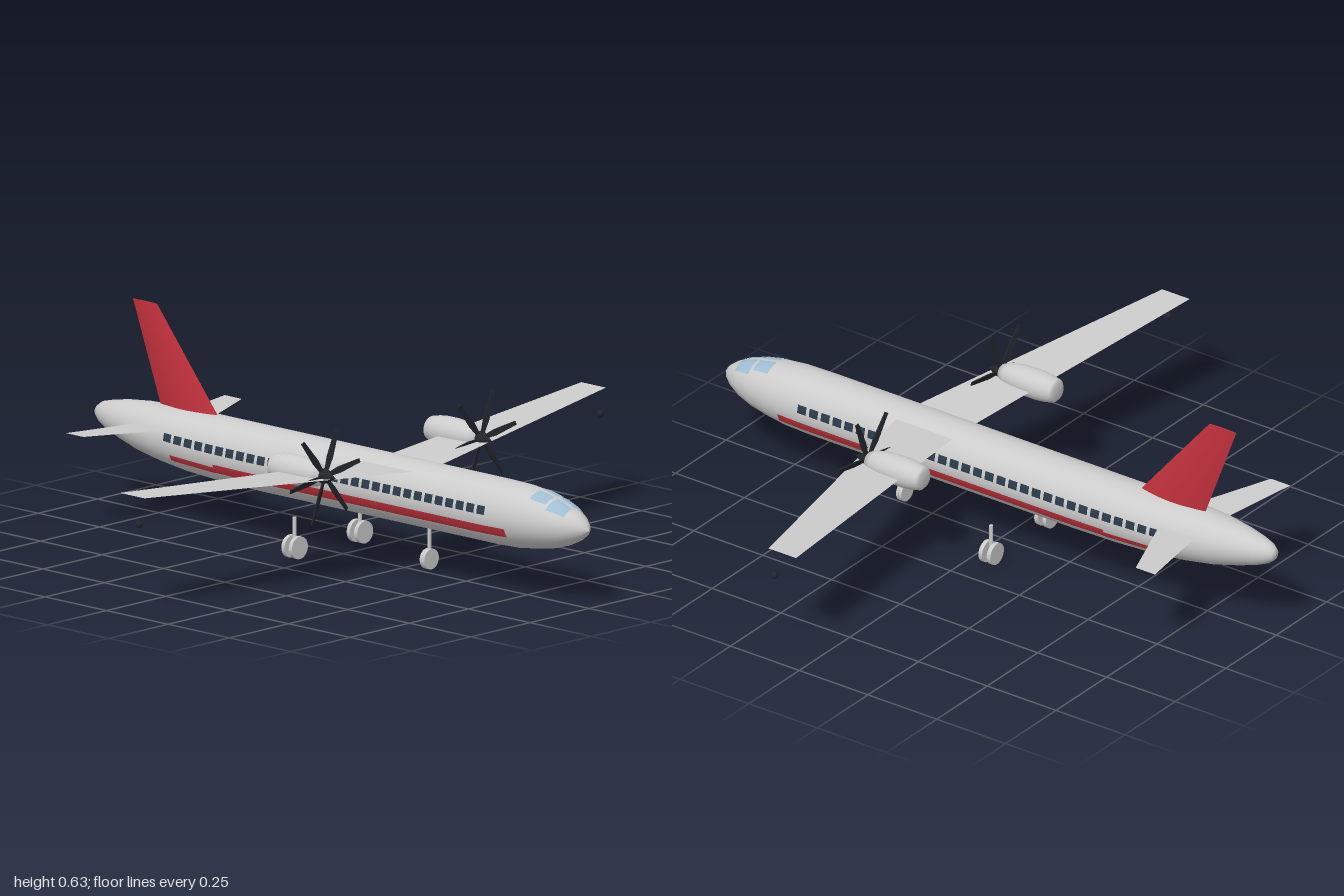
import * as THREE from 'three';
import { ParametricGeometry } from 'three/addons/geometries/ParametricGeometry.js';

const mat = (color, side = THREE.FrontSide) => new THREE.MeshStandardMaterial({ color, side });
const grey = mat(0xcccccc), greyThin = mat(0xcccccc, THREE.DoubleSide);
const red = mat(0xc0303c, THREE.DoubleSide), dark = mat(0x22262c);
const windowBlue = mat(0x2c3a4a, THREE.DoubleSide), glass = mat(0x9fbcd2, THREE.DoubleSide);

// Fuselage sections: x, top y, bottom y, half width
const SECTIONS = [
  [-1, 0.271, 0.269, 0.001], [-0.995, 0.288, 0.252, 0.017], [-0.975, 0.302, 0.236, 0.03],
  [-0.94, 0.311, 0.221, 0.044], [-0.88, 0.322, 0.202, 0.061], [-0.8, 0.33, 0.181, 0.079],
  [-0.7, 0.334, 0.164, 0.091], [-0.6, 0.335, 0.152, 0.096], [-0.45, 0.335, 0.143, 0.0975],
  [-0.3, 0.335, 0.14, 0.0975], [0.65, 0.335, 0.14, 0.0975], [0.74, 0.333, 0.143, 0.096],
  [0.81, 0.326, 0.152, 0.089], [0.87, 0.314, 0.163, 0.078], [0.92, 0.298, 0.178, 0.062],
  [0.96, 0.278, 0.197, 0.042], [0.985, 0.258, 0.215, 0.022], [1, 0.236, 0.234, 0.001],
];

// Point on the fuselage skin at x, angle a from the top, lifted by an offset
function skin(x, a, lift, target) {
  let i = 0;
  while (i < SECTIONS.length - 2 && x > SECTIONS[i + 1][0]) i++;
  const p = SECTIONS[i], q = SECTIONS[i + 1], t = (x - p[0]) / (q[0] - p[0]);
  const [top, bottom, half] = [1, 2, 3].map((k) => p[k] + (q[k] - p[k]) * t);
  return target.set(x, (top + bottom) / 2 + ((top - bottom) / 2 + lift) * Math.cos(a),
    -(half + lift) * Math.sin(a));
}

export function createModel() {
  const model = new THREE.Group();
  model.name = 'airliner';

  function add(parent, name, geometry, material, x = 0, y = 0, z = 0) {
    const mesh = new THREE.Mesh(geometry, material);
    mesh.name = name;
    mesh.position.set(x, y, z);
    parent.add(mesh);
    return mesh;
  }
  function group(name, x, y, z) {
    const g = new THREE.Group();
    g.name = name;
    g.position.set(x, y, z);
    model.add(g);
    return g;
  }
  // Panel lying on the skin; side 1 is +z, -1 is -z
  function panel(name, x0, x1, a0, a1, side, material, nx, lift = 0.002) {
    const from = side > 0 ? -a1 : a0, to = side > 0 ? -a0 : a1;
    add(model, name, new ParametricGeometry((u, v, target) =>
      skin(x0 + (x1 - x0) * u, from + (to - from) * v, lift, target), nx, 6), material);
  }
  // Thin four-cornered surface
  function sheet(name, corners) {
    const g = new THREE.BufferGeometry();
    g.setAttribute('position', new THREE.Float32BufferAttribute(corners.flat(), 3));
    g.setIndex([0, 1, 2, 0, 2, 3]);
    g.computeVertexNormals();
    add(model, name, g, greyThin);
  }

  // Fuselage
  const steps = (SECTIONS.length - 1) * 2;
  const body = new ParametricGeometry((u, v, target) => {
    const s = u * (SECTIONS.length - 1), i = Math.min(Math.floor(s), SECTIONS.length - 2);
    const x = SECTIONS[i][0] + (SECTIONS[i + 1][0] - SECTIONS[i][0]) * (s - i);
    skin(x, -Math.PI + v * 2 * Math.PI, 0, target);
  }, steps, 48);
  body.computeVertexNormals();
  add(model, 'fuselage', body, grey);

  // Tail fin: lens-shaped sections tapering upward
  const fin = [[0.31, -0.735, -0.49, 0.017], [0.63, -0.855, -0.757, 0.004]];
  add(model, 'tailFin', new ParametricGeometry((u, v, target) => {
    const [y, back, front, half] = fin[0].map((n, k) => n + (fin[1][k] - n) * v);
    const a = u * 2 * Math.PI;
    target.set((back + front) / 2 + Math.cos(a) * (front - back) / 2, y,
      half * Math.sin(a) * Math.abs(Math.sin(a)));
  }, 32, 4), red);
  add(model, 'tailFinCap', new THREE.BoxGeometry(0.094, 0.002, 0.004), red, -0.806, 0.629, 0);

  // Main wheels and nose wheels, strut above a pair of discs
  function gear(name, x, y, z, radius, gap, width) {
    const g = group(name, x, y, z);
    for (const s of [-1, 1]) {
      add(g, 'wheel', new THREE.CylinderGeometry(radius, radius, width, 24), grey, s * gap)
        .rotation.z = Math.PI / 2;
    }
    add(g, 'axle', new THREE.CylinderGeometry(0.005, 0.005, gap * 2, 10), grey).rotation.z = Math.PI / 2;
    add(g, 'strut', new THREE.CylinderGeometry(0.006, 0.006, 0.09, 12), grey, 0, 0.045);
  }
  gear('noseGear', 0.35, 0.045, 0, 0.031, 0.005, 0.009);

  // Nacelle outline, revolved about its long axis
  const nacelleOutline = [[0, 0.035], [0.027, 0.035], [0.036, 0.043], [0.042, 0.07], [0.045, 0.1],
    [0.045, 0.14], [0.042, 0.18], [0.035, 0.215], [0.025, 0.238], [0, 0.238]]
    .map(([r, x]) => new THREE.Vector2(r, x));
  const blade = new THREE.Shape();
  blade.moveTo(-0.005, 0.01);
  blade.lineTo(-0.010, 0.06);
  blade.lineTo(-0.006, 0.148);
  blade.lineTo(0.006, 0.148);
  blade.lineTo(0.010, 0.06);
  blade.lineTo(0.005, 0.01);
  const bladeGeometry = new THREE.ExtrudeGeometry(blade, { depth: 0.004, bevelEnabled: false });
  bladeGeometry.translate(0, 0, -0.002);

  for (const s of [1, -1]) {
    const side = s > 0 ? 'left' : 'right';

    // Wings and tailplane with slight dihedral
    sheet(side + 'Wing', [[0.137, 0.313, s * 0.03], [0.345, 0.313, s * 0.03],
      [0.13, 0.357, s * 0.975], [0.03, 0.357, s * 0.975]]);
    sheet(side + 'Tailplane', [[-0.757, 0.283, s * 0.05], [-0.622, 0.283, s * 0.05],
      [-0.735, 0.29, s * 0.335], [-0.805, 0.29, s * 0.335]]);
    add(model, side + 'TipLight', new THREE.SphereGeometry(0.011, 16, 12), dark, 0.108, 0.275, s * 0.975);

    // Engine with six-bladed propeller
    add(model, side + 'Nacelle', new THREE.LatheGeometry(nacelleOutline, 32), grey, 0, 0.332, s * 0.33)
      .rotation.z = -Math.PI / 2;
    const propeller = group(side + 'Propeller', 0.243, 0.332, s * 0.33);
    add(propeller, 'hub', new THREE.CylinderGeometry(0.02, 0.024, 0.018, 24), dark)
      .rotation.z = -Math.PI / 2;
    add(propeller, 'spinner', new THREE.ConeGeometry(0.02, 0.035, 24), dark, 0.026)
      .rotation.z = -Math.PI / 2;
    for (let i = 0; i < 6; i++) {
      const arm = new THREE.Group();
      arm.name = 'blade';
      arm.rotation.x = -THREE.MathUtils.degToRad(21 + i * 60);
      add(arm, 'bladeSurface', bladeGeometry, dark).rotation.y = Math.PI / 2 - 0.3;
      propeller.add(arm);
    }

    gear(side + 'MainGear', -0.065, 0.036, s * 0.138, 0.034, 0.015, 0.013);

    // Cabin windows
    const count = 31, pitch = 1.32 / count;
    for (let i = 0; i < count; i++) {
      const x = -0.64 + i * pitch;
      panel(side + 'CabinWindow', x, x + 0.031, 1.23, 1.49, s, windowBlue, 1, 0.003);
    }

    // Side stripe, narrower toward the tail
    panel(side + 'Stripe', -0.44, 0.745, 1.82, 2.115, s, red, 40);
    panel(side + 'StripeTail', -0.62, -0.44, 1.92, 2.13, s, red, 10);

    // Cockpit glazing
    panel(side + 'RearWindscreen', 0.81, 0.868, 0.08, 0.64, s, glass, 6);
    panel(side + 'FrontWindscreen', 0.878, 0.937, 0.08, 0.85, s, glass, 6);
  }
  return model;
}
